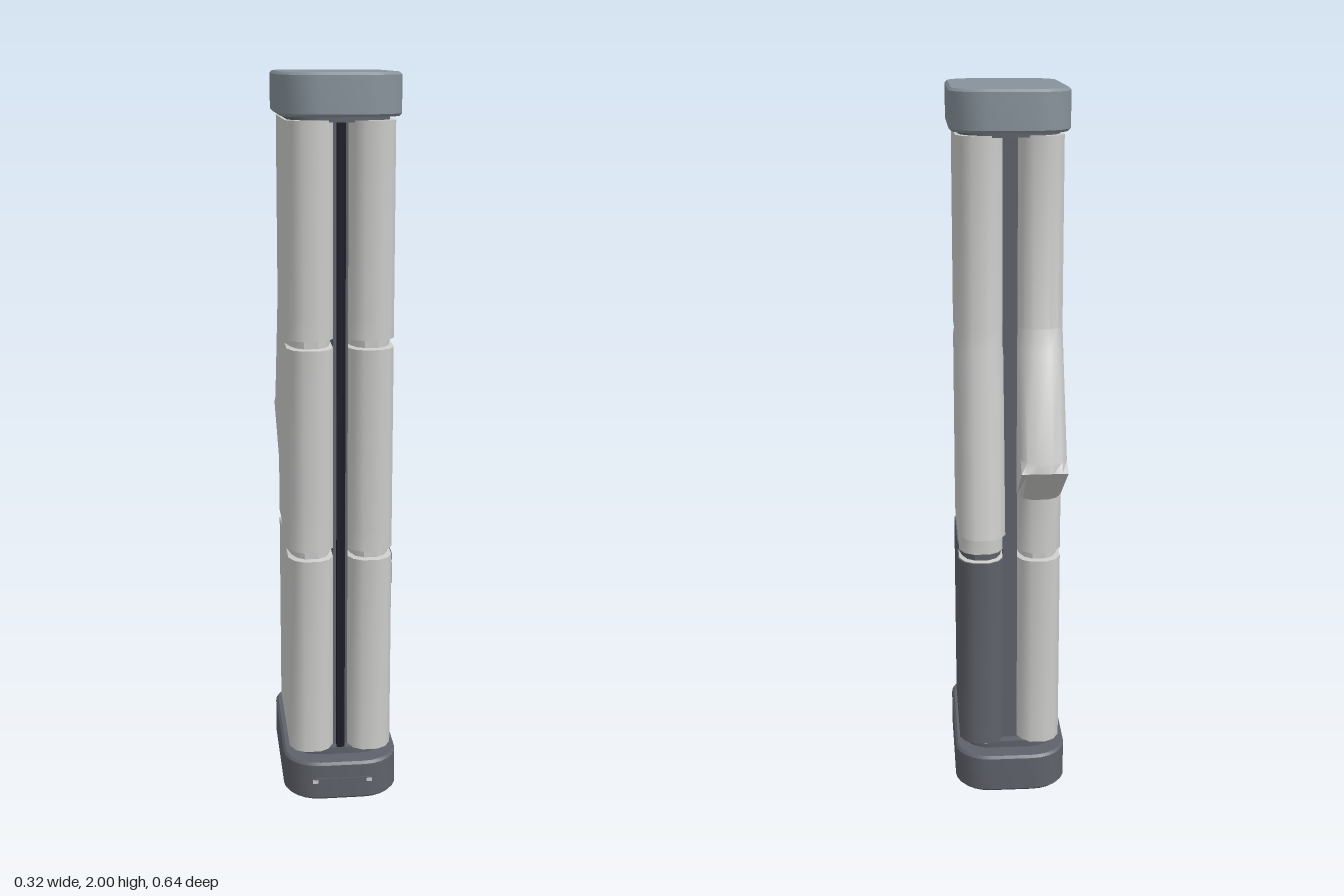
import * as THREE from 'three';
import { toCreasedNormals } from 'three/addons/utils/BufferGeometryUtils.js';

const mat = (name, color) => {
  const m = new THREE.MeshStandardMaterial({ color });
  m.name = name;
  return m;
};

// Rounded end of a half shell: [position across the width, setback from the end]
const END = [[1, 0.045], [0.75, 0.015], [0.35, 0], [-0.35, 0], [-0.75, 0.015], [-1, 0.045]];

// One horizontal outline; grooveFront / grooveBack pinch the ends, flat options square them off
function outline(cx, w, r) {
  const { y, front = 0.275, back = -0.168, grooveFront = 0, grooveBack = 0, flatFront = 0, flatBack = 0 } = r;
  const pts = [];
  for (const [u, d] of END)
    pts.push([cx + u * w * (1 - 0.17 * grooveBack), y, back + (flatBack ? 0 : d) + 0.016 * grooveBack]);
  pts.push([cx - w, y, -0.04], [cx - w, y, 0.15]);
  for (const [u, d] of END)
    pts.push([cx - u * w * (1 - 0.17 * grooveFront), y, front - (flatFront ? 0 : d) - 0.016 * grooveFront]);
  pts.push([cx + w, y, 0.15], [cx + w, y, -0.04]);
  return pts;
}

// Join outlines from bottom to top into a closed solid
function loft(cx, w, rings) {
  const rows = rings.map(r => outline(cx, w, r));
  const n = rows[0].length, index = [];
  for (let j = 0; j < rows.length - 1; j++)
    for (let i = 0; i < n; i++) {
      const k = (i + 1) % n, a = j * n + i, b = j * n + k;
      index.push(a, b, b + n, a, b + n, a + n);
    }
  const top = (rows.length - 1) * n;
  for (let i = 1; i < n - 1; i++) index.push(top, top + i, top + i + 1, 0, i + 1, i);
  const g = new THREE.BufferGeometry();
  g.setAttribute('position', new THREE.Float32BufferAttribute(rows.flat(2), 3));
  g.setIndex(index);
  return toCreasedNormals(g, 0.6);
}

// Four outlines that cut a groove between two heights
const groove = (y0, y1, opts) => [{ y: y0 }, { y: y0 + 0.003, ...opts }, { y: y1 - 0.003, ...opts }, { y: y1 }];

// Bevelled rounded-rectangle cap
function capGeometry(hw, hl, radius, height, bevel) {
  const x = hw - bevel, z = hl - bevel, r = radius - bevel;
  const s = new THREE.Shape();
  s.moveTo(x, -z + r);
  s.lineTo(x, z - r);
  s.absarc(x - r, z - r, r, 0, Math.PI / 2);
  s.absarc(-x + r, z - r, r, Math.PI / 2, Math.PI);
  s.absarc(-x + r, -z + r, r, Math.PI, Math.PI * 1.5);
  s.absarc(x - r, -z + r, r, Math.PI * 1.5, Math.PI * 2);
  const g = new THREE.ExtrudeGeometry(s, {
    depth: height - 2 * bevel, bevelEnabled: bevel > 0, bevelSize: bevel,
    bevelThickness: bevel, bevelSegments: 1, curveSegments: 3,
  });
  g.rotateX(-Math.PI / 2);
  g.translate(0, bevel, 0.048);
  return toCreasedNormals(g, 0.6);
}

export function createModel() {
  const model = new THREE.Group();
  model.name = 'tower';
  const shell = mat('light grey shell', 0xcbcbca);
  const slate = mat('dark slate', 0x5f626a);
  const steel = mat('blue grey steel', 0x87929a);
  const navy = mat('near black navy', 0x1b1b2a);

  const add = (name, geometry, material, x = 0, y = 0, z = 0) => {
    const m = new THREE.Mesh(geometry, material);
    m.name = name;
    m.position.set(x, y, z);
    model.add(m);
    return m;
  };
  const box = (w, h, d) => new THREE.BoxGeometry(w, h, d);

  // End caps and the recessed necks next to them
  add('bottomCap', capGeometry(0.16, 0.267, 0.1, 0.112, 0.007), slate);
  add('topCap', capGeometry(0.16, 0.267, 0.1, 0.11, 0.007), steel, 0, 1.89);
  for (const [name, y] of [['bottomNeck', 0.11], ['topNeck', 1.875]])
    add(name, capGeometry(0.135, 0.21, 0.08, 0.022, 0), slate, 0, y);

  // Core seen through the slit between the halves
  add('core', box(0.04, 1.77, 0.37), slate, 0, 1.005, 0.05);
  add('coreStripe', box(0.022, 1.77, 0.03), navy, 0, 1.005, 0.242);

  const both = { grooveFront: 1, grooveBack: 1 }, frontOnly = { grooveFront: 1 };
  const w = 0.0625, cx = 0.081;

  // Left half, its back swelling out into a long flap
  const flap = y => -0.168 - 0.087 * (1.37 - y) / 0.57;
  const upper = groove(1.287, 1.312, frontOnly).map(r => ({ ...r, back: flap(r.y) }));
  add('leftShell', loft(cx, w, [
    { y: 0.13 }, ...groove(0.7, 0.725, both), { y: 0.788 },
    { y: 0.8, back: -0.257 }, ...upper, { y: 1.37 }, { y: 1.88 },
  ]), shell);

  // Right half, with a shorter and steeper flap
  const fin = y => -0.168 - 0.148 * (1.37 - y) / 0.34;
  const finSeam = groove(1.287, 1.312, frontOnly).map(r => ({ ...r, back: fin(r.y) }));
  add('rightShell', loft(-cx, w, [
    { y: 0.13 }, ...groove(0.7, 0.725, both), { y: 0.885 },
    { y: 1.01, back: -0.318, flatBack: 1 }, { y: 1.035, back: -0.316 },
    ...finSeam, { y: 1.37 }, { y: 1.88 },
  ]), shell);

  // Dark cover over the lower back of the left half
  const edge = y => 0.185 + 0.035 * (y - 0.13) / 0.57;
  const cover = [
    { y: 0.132 }, { y: 0.698 }, { y: 0.701, grooveBack: 1 }, { y: 0.722, grooveBack: 1 },
  ].map(r => ({ ...r, front: r.y > 0.7 ? 0.155 : edge(r.y), back: -0.171, flatFront: 1 }));
  add('lowerCover', loft(cx, w + 0.003, cover), slate);

  // Thin front plate with two small lights
  add('frontPlate', box(0.16, 0.016, 0.004), slate, 0, 0.058, 0.315);
  for (const x of [-0.077, 0.075])
    add('indicator', box(0.016, 0.01, 0.003), shell, x, 0.058, 0.317);

  return model;
}
